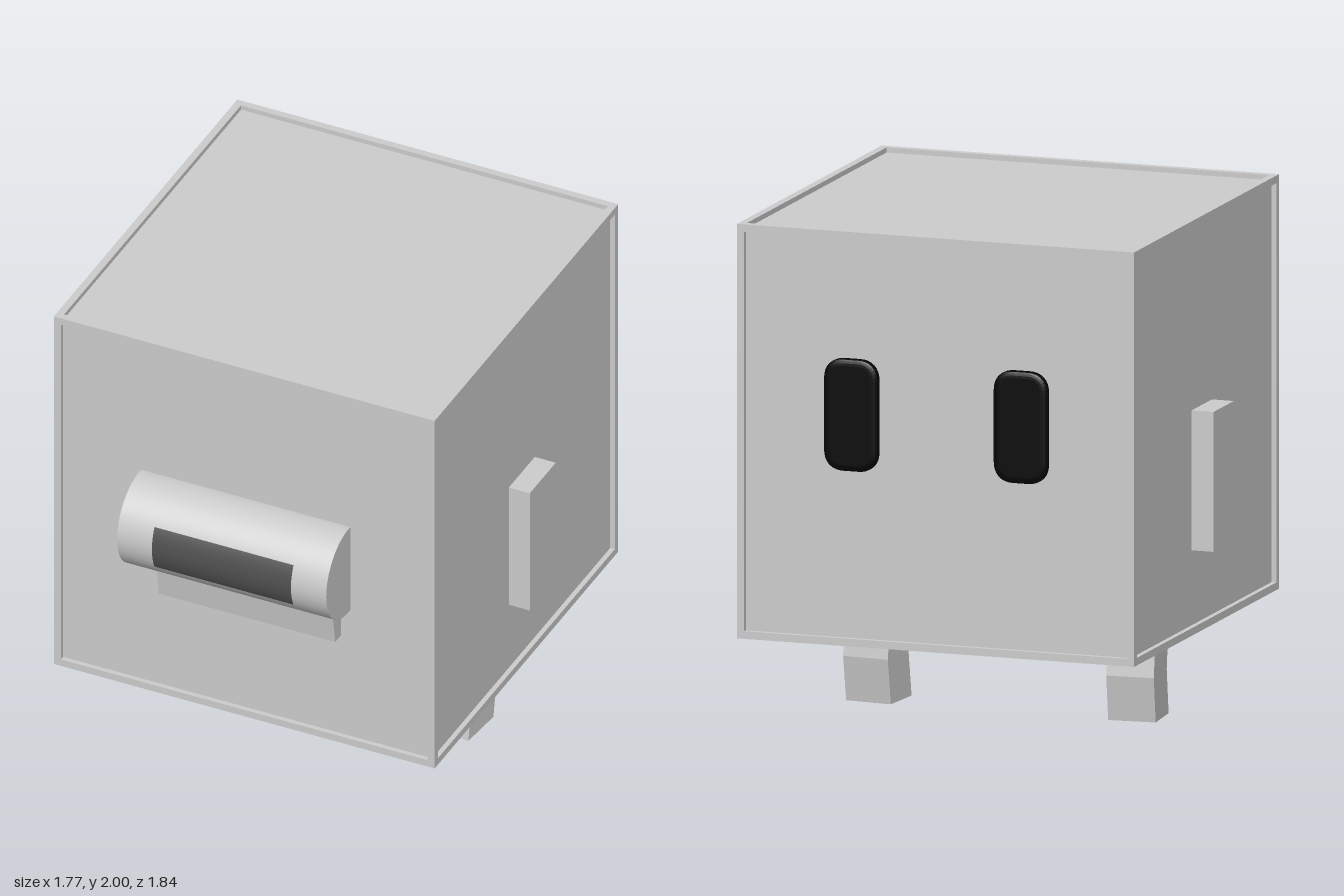
import * as THREE from 'three';

const grey = new THREE.MeshStandardMaterial({ color: 0xcccccc });
const flatGrey = new THREE.MeshStandardMaterial({ color: 0xcccccc, flatShading: true });
const black = new THREE.MeshStandardMaterial({ color: 0x050505 });
const darkGrey = new THREE.MeshStandardMaterial({ color: 0x505050, side: THREE.DoubleSide });

const CX = -0.005, CY = 1.185, CZ = -0.09; // centre of the cube body
const SIZE = 1.63, BAR = 0.03, RECESS = 0.02;

function add(parent, name, geometry, material, x = 0, y = 0, z = 0) {
  const mesh = new THREE.Mesh(geometry, material);
  mesh.name = name;
  mesh.position.set(x, y, z);
  parent.add(mesh);
  return mesh;
}

// Cube with recessed panels inside a frame of twelve edge bars
function makeBody() {
  const body = new THREE.Group();
  body.name = 'body';
  body.position.set(CX, CY, CZ);
  const core = SIZE - 2 * RECESS;
  add(body, 'panels', new THREE.BoxGeometry(core, core, core), grey);
  const off = (SIZE - BAR) / 2;
  for (let axis = 0; axis < 3; axis++) {
    for (const a of [-1, 1]) {
      for (const b of [-1, 1]) {
        const size = [BAR, BAR, BAR], pos = [0, 0, 0];
        size[axis] = SIZE;
        pos[(axis + 1) % 3] = a * off;
        pos[(axis + 2) % 3] = b * off;
        add(body, 'frameBar', new THREE.BoxGeometry(...size), grey, ...pos);
      }
    }
  }
  return body;
}

// Leg with a slight backward bend halfway up
function makeLeg() {
  const geo = new THREE.BoxGeometry(0.19, 0.36, 0.19, 1, 2, 1);
  const p = geo.attributes.position;
  for (let i = 0; i < p.count; i++) {
    if (Math.abs(p.getY(i)) < 0.01) p.setZ(i, p.getZ(i) - 0.028);
  }
  geo.computeVertexNormals();
  return geo;
}

// Flat rounded pad with a soft rim
function makeEye() {
  const w = 0.085, h = 0.195, r = 0.055;
  const s = new THREE.Shape();
  s.moveTo(-w + r, -h);
  s.lineTo(w - r, -h);
  s.quadraticCurveTo(w, -h, w, -h + r);
  s.lineTo(w, h - r);
  s.quadraticCurveTo(w, h, w - r, h);
  s.lineTo(-w + r, h);
  s.quadraticCurveTo(-w, h, -w, h - r);
  s.lineTo(-w, -h + r);
  s.quadraticCurveTo(-w, -h, -w + r, -h);
  return new THREE.ExtrudeGeometry(s, {
    depth: 0.02, bevelEnabled: true, bevelThickness: 0.012, bevelSize: 0.025, bevelSegments: 4, curveSegments: 8,
  });
}

export function createModel() {
  const model = new THREE.Group();
  model.name = 'cubeFigure';
  model.add(makeBody());

  // Half-sunk horizontal drum on the front, with a dark curved window
  const drum = add(model, 'frontDrum', new THREE.CylinderGeometry(0.195, 0.195, 0.895, 40), grey, -0.0075, 1.185, 0.725);
  drum.rotation.z = Math.PI / 2;
  const pane = new THREE.CylinderGeometry(0.197, 0.197, 0.595, 12, 1, true, -0.49, 0.98);
  const windowPane = add(model, 'drumWindow', pane, darkGrey, -0.0075, 1.183, 0.725);
  windowPane.rotation.z = Math.PI / 2;

  // Sloped ledge under the drum
  const side = new THREE.Shape([
    new THREE.Vector2(0.68, 0.86), new THREE.Vector2(0.757, 0.86),
    new THREE.Vector2(0.785, 1.03), new THREE.Vector2(0.68, 1.03),
  ]);
  const ledge = add(model, 'ledge', new THREE.ExtrudeGeometry(side, { depth: 0.755, bevelEnabled: false }), grey, 0.4);
  ledge.rotation.y = -Math.PI / 2;

  // Arms, legs and eyes, mirrored left and right
  const legGeo = makeLeg(), eyeGeo = makeEye();
  for (const s of [-1, 1]) {
    const label = s > 0 ? 'left' : 'right';
    add(model, label + 'Arm', new THREE.BoxGeometry(0.1, 0.55, 0.23), grey, CX + s * 0.835, 0.97, -0.09);
    const leg = add(model, label + 'Leg', legGeo, flatGrey, CX + s * 0.5325, 0.18, -0.083);
    leg.rotation.y = -s * 0.085;
    const eye = add(model, label + 'Eye', eyeGeo, black, CX - 0.002 + s * 0.348, 1.28, -0.888);
    eye.rotation.y = Math.PI;
  }
  return model;
}
